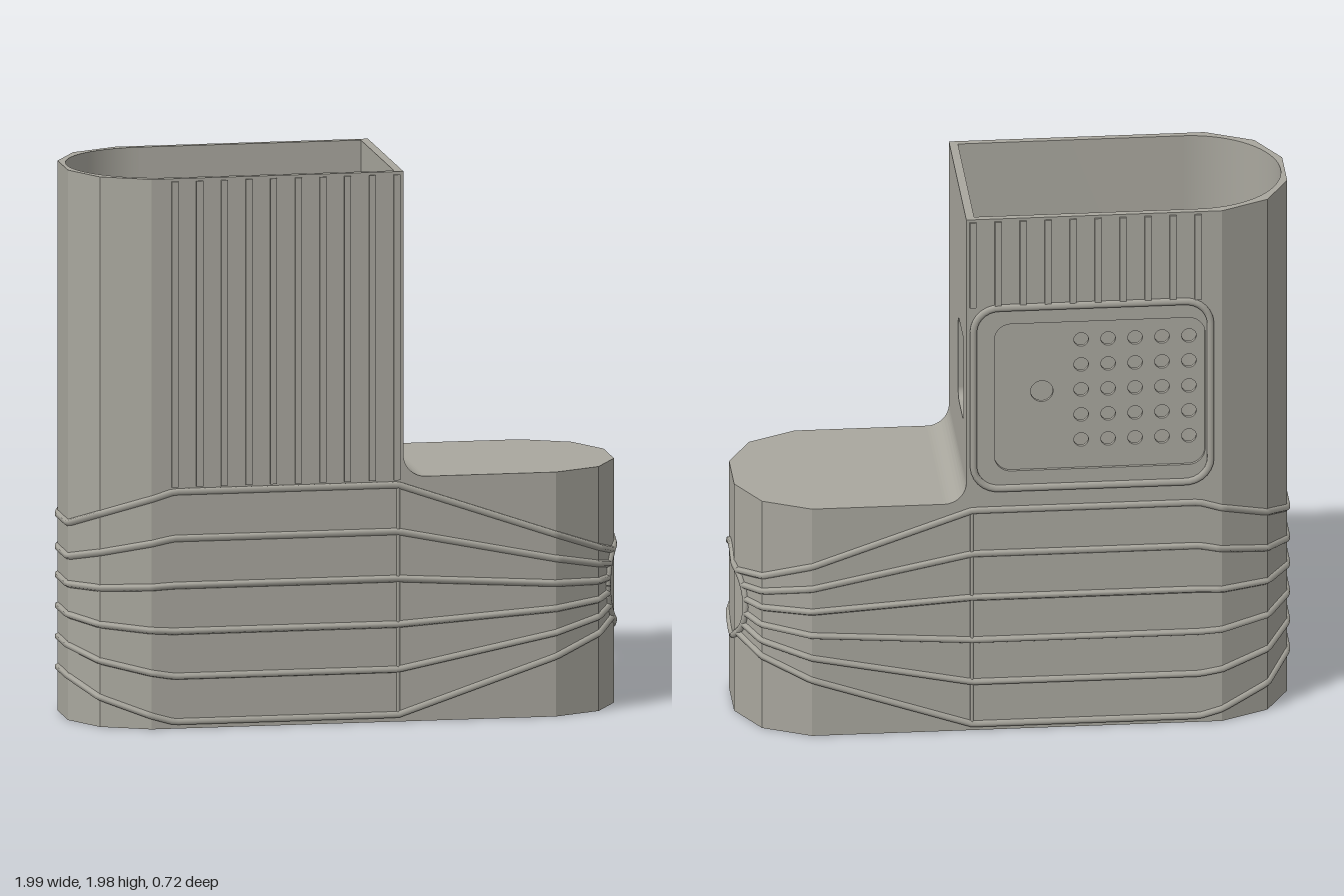
import * as THREE from 'three';
import { toCreasedNormals } from 'three/addons/utils/BufferGeometryUtils.js';

const W = 0.345, R = 0.32; // outer half width, inner radius

export function createModel() {
  const group = new THREE.Group();
  const grey = new THREE.MeshStandardMaterial({ color: 0xa9a79e });
  grey.name = 'warm grey';

  const add = (name, geo) => {
    const mesh = new THREE.Mesh(geo, grey);
    mesh.name = name;
    group.add(mesh);
    return mesh;
  };
  const extrude = (shape, depth) => new THREE.ExtrudeGeometry(shape, { depth, bevelEnabled: false, curveSegments: 28 });
  // plan shape (x, -z) raised from y0 to y1
  const raise = (name, shape, y0, y1) =>
    add(name, toCreasedNormals(extrude(shape, y1 - y0).rotateX(-Math.PI / 2).translate(0, y0, 0), 0.3));
  const rect = (x0, y0, x1, y1) => new THREE.Shape([[x0, y0], [x1, y0], [x1, y1], [x0, y1]].map(p => new THREE.Vector2(...p)));
  const rounded = (x0, y0, x1, y1, r) => {
    const p = new THREE.Path();
    p.absarc(x1 - r, y1 - r, r, 0, Math.PI / 2);
    p.absarc(x0 + r, y1 - r, r, Math.PI / 2, Math.PI);
    p.absarc(x0 + r, y0 + r, r, Math.PI, Math.PI * 1.5);
    p.absarc(x1 - r, y0 + r, r, Math.PI * 1.5, Math.PI * 2);
    p.closePath();
    return p;
  };
  const circle = (x, y, r) => new THREE.Path().absarc(x, y, r, 0, Math.PI * 2);
  // raised bead along straight runs between points
  const bead = (name, pts, r, segments) => {
    const path = new THREE.CurvePath();
    for (let i = 1; i < pts.length; i++)
      path.add(new THREE.LineCurve3(new THREE.Vector3(...pts[i - 1]), new THREE.Vector3(...pts[i])));
    return add(name, new THREE.TubeGeometry(path, segments, r, 6));
  };

  // faceted stadium outline
  const end = [[0.73, W], [0.9, 0.26], [0.985, 0.1]];
  const quarter = (sx, sz) => end.map(([x, z]) => new THREE.Vector2(x * sx, z * sz));
  const outline = () => new THREE.Shape([
    ...quarter(1, -1), ...quarter(1, 1).reverse(), ...quarter(-1, 1), ...quarter(-1, -1).reverse()]);

  // lower body, open underneath
  const base = outline();
  const cavity = new THREE.Path();
  cavity.absarc(0.65, 0, R, -Math.PI / 2, Math.PI / 2);
  cavity.absarc(-0.65, 0, R, Math.PI / 2, Math.PI * 1.5);
  cavity.closePath();
  base.holes.push(cavity);
  raise('lowerWall', base, 0, 0.85);

  // roof of the lower body, open into the upper chamber
  const roof = outline();
  const opening = new THREE.Path();
  opening.moveTo(0.15, -R);
  opening.lineTo(0.15, R);
  opening.absarc(-0.65, 0, R, Math.PI / 2, Math.PI * 1.5);
  opening.closePath();
  roof.holes.push(opening);
  raise('lowerRoof', roof, 0.85, 0.88);

  // upper chamber: rounded end and front wall
  const shell = new THREE.Shape([
    ...quarter(-1, 1), ...quarter(-1, -1).reverse(), new THREE.Vector2(0.18, -W), new THREE.Vector2(0.18, -R)]);
  shell.lineTo(-0.65, -R);
  shell.absarc(-0.65, 0, R, -Math.PI / 2, -Math.PI * 1.5, true);
  shell.lineTo(-0.65, 0.333);
  shell.lineTo(-0.73, 0.333);
  raise('upperWall', shell, 0.88, 1.98);

  // back wall: outer layer with recess, inner layer with vent holes
  const skin = rect(-0.73, 0.88, 0.18, 1.98);
  skin.holes.push(rounded(-0.67, 1.0, 0.08, 1.57, 0.06));
  add('backSkin', extrude(skin, 0.012).translate(0, 0, -W));
  const grille = rect(-0.65, 0.88, 0.18, 1.98);
  for (let i = 0; i < 5; i++)
    for (let j = 0; j < 5; j++) grille.holes.push(circle(-0.23 - i * 0.096, 1.107 + j * 0.097, 0.026));
  grille.holes.push(circle(-0.09, 1.3, 0.04));
  add('ventPanel', extrude(grille, 0.013).translate(0, 0, -0.333));
  const frame = rounded(-0.69, 0.935, 0.155, 1.635, 0.09).getPoints(8).map(p => [p.x, p.y, -W]);
  bead('panelFrame', frame, 0.014, 140);

  // side wall with window
  const side = rect(-R, 0.88, R, 1.98);
  side.holes.push(rounded(0.02, 1.15, 0.24, 1.47, 0.04));
  add('windowWall', extrude(side, 0.03).rotateY(Math.PI / 2).translate(0.15, 0, 0));

  // fillet between side wall and roof
  const fillet = new THREE.Shape();
  fillet.moveTo(0.18, 0.88);
  fillet.lineTo(0.26, 0.88);
  fillet.absarc(0.26, 0.96, 0.08, -Math.PI / 2, -Math.PI, true);
  fillet.closePath();
  add('fillet', toCreasedNormals(extrude(fillet, 2 * W).translate(0, 0, -W), 0.3));

  // vertical ribs, full height in front, short above the back panel
  for (let i = 0; i < 10; i++) {
    const x = -0.645 + i * 0.089;
    const rib = (y0, y1, z) => add('verticalRib', new THREE.BoxGeometry(0.024, y1 - y0, 0.016).translate(x, (y0 + y1) / 2, z));
    rib(0.87, 1.97, W);
    rib(1.64, 1.97, -W);
  }

  // round port outline on the short end
  const cy = 0.435, ringR = 0.17;
  const endX = z => 0.985 - 0.085 * Math.max(0, Math.abs(z) - 0.1) / 0.16;
  const ring = [];
  for (let i = 0; i <= 40; i++) {
    const a = i / 40 * Math.PI * 2, z = ringR * Math.cos(a);
    ring.push([endX(z), cy + ringR * Math.sin(a), z]);
  }
  bead('portRing', ring, 0.013, 80);

  // horizontal beads, gathered at the rounded end and at the port
  const middle = [0.853, 0.685, 0.515, 0.35, 0.188, 0.025];
  const left = [0.71, 0.59, 0.49, 0.38, 0.27, 0.16];
  const right = [0.12, 0.075, 0.027, -0.027, -0.075, -0.12];
  for (const s of [1, -1]) {
    middle.forEach((m, i) => {
      const toLeft = t => m + (left[i] - m) * t;
      const toRight = t => m + (cy + right[i] - m) * t;
      const z = Math.sqrt(ringR ** 2 - right[i] ** 2);
      bead('horizontalBead', [
        [-0.985, left[i], 0], [-0.985, left[i], 0.1], [-0.9, toLeft(0.6), 0.26], [-0.73, toLeft(0.17), W],
        [-0.65, m, W], [0.16, m, W], [0.73, toRight(0.66), W], [0.9, toRight(0.88), 0.26], [endX(z), toRight(1), z],
      ].map(p => [p[0], p[1], p[2] * s]), 0.013, 100);
    });
    // seam between the two halves of the lower body
    bead('seam', [[0.16, 0.02, W * s], [0.16, 0.86, W * s]], 0.007, 1);
  }
  return group;
}
